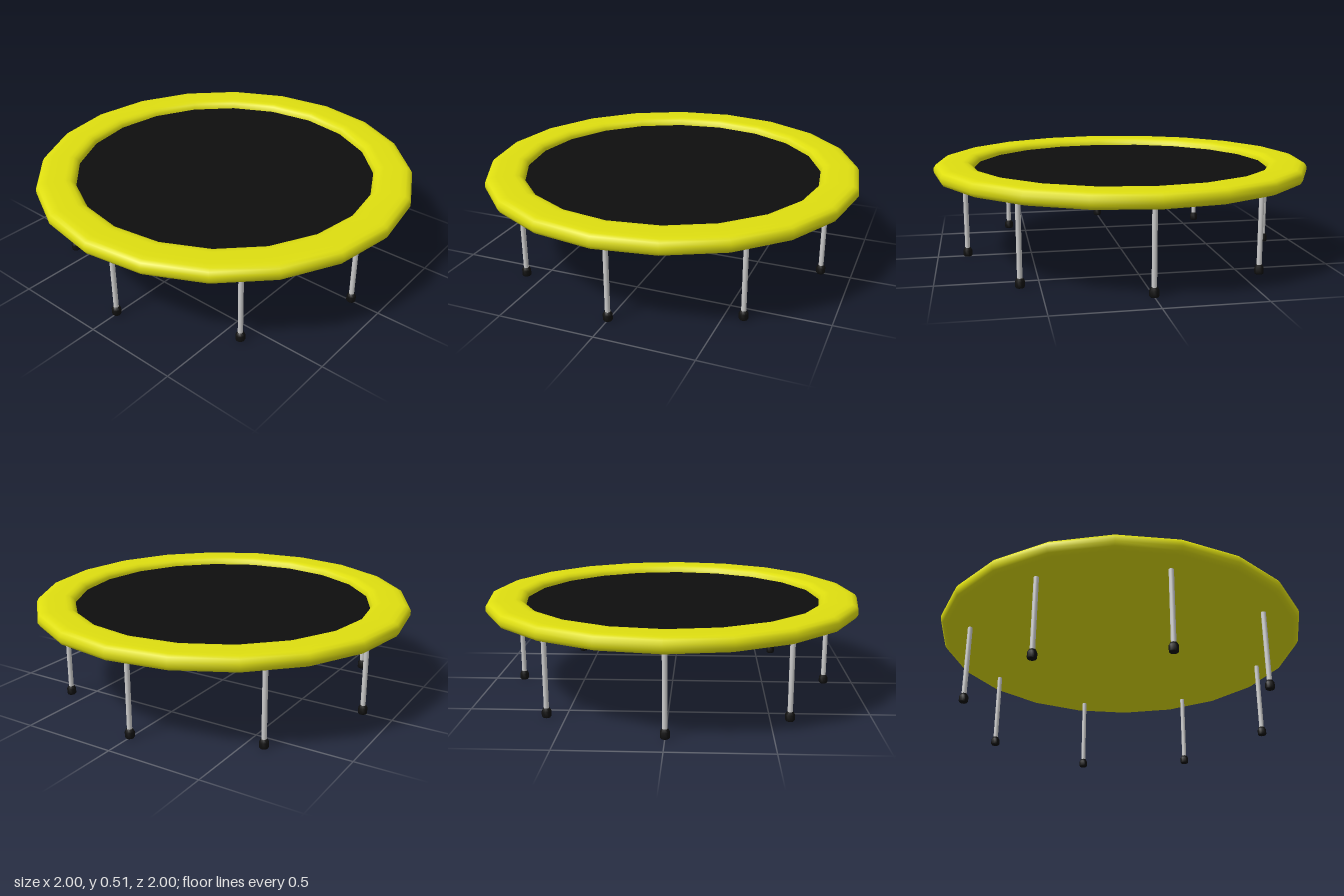
import * as THREE from 'three';

const SIDES = 20;
const LEGS = 8;
const LEG_RADIUS = 0.842; // distance of the legs from the centre

const lathe = (profile, sides) =>
  new THREE.LatheGeometry(profile.map(([r, y]) => new THREE.Vector2(r, y)), sides);

export function createModel() {
  const yellow = new THREE.MeshStandardMaterial({ color: 0xdede10 });
  const black = new THREE.MeshStandardMaterial({ color: 0x0e0e0e });
  const grey = new THREE.MeshStandardMaterial({ color: 0xcccccc });

  const model = new THREE.Group();
  model.name = 'trampoline';
  const add = (parent, name, geometry, material) => {
    const mesh = new THREE.Mesh(geometry, material);
    mesh.name = name;
    parent.add(mesh);
    return mesh;
  };

  // Padded rim with a closed underside: from the centre out, up and over the inner lip
  add(model, 'paddedRim', lathe([
    [0, 0.435], [0.94, 0.435], [0.968, 0.437], [0.989, 0.445], [1, 0.463],
    [1, 0.487], [0.989, 0.505], [0.968, 0.513], [0.94, 0.515],
    [0.85, 0.515], [0.825, 0.512], [0.807, 0.502], [0.797, 0.488], [0.795, 0.47],
  ], SIDES), yellow);

  // Jumping mat inside the rim
  const mat = add(model, 'jumpingMat', new THREE.CircleGeometry(0.797, SIDES), black);
  mat.rotation.x = -Math.PI / 2;
  mat.position.y = 0.476;

  // Legs with rubber feet, evenly spaced around the rim
  const legGeometry = new THREE.CylinderGeometry(0.013, 0.013, 0.4, 12);
  const footGeometry = lathe([
    [0, 0], [0.02, 0], [0.024, 0.006], [0.024, 0.032], [0.016, 0.047], [0, 0.047],
  ], 10);
  for (let i = 0; i < LEGS; i++) {
    const angle = (i / LEGS) * Math.PI * 2;
    const leg = new THREE.Group();
    leg.name = `leg${i + 1}`;
    leg.position.set(Math.sin(angle) * LEG_RADIUS, 0, Math.cos(angle) * LEG_RADIUS);
    add(leg, 'legTube', legGeometry, grey).position.y = 0.24;
    add(leg, 'rubberFoot', footGeometry, black);
    model.add(leg);
  }
  return model;
}
